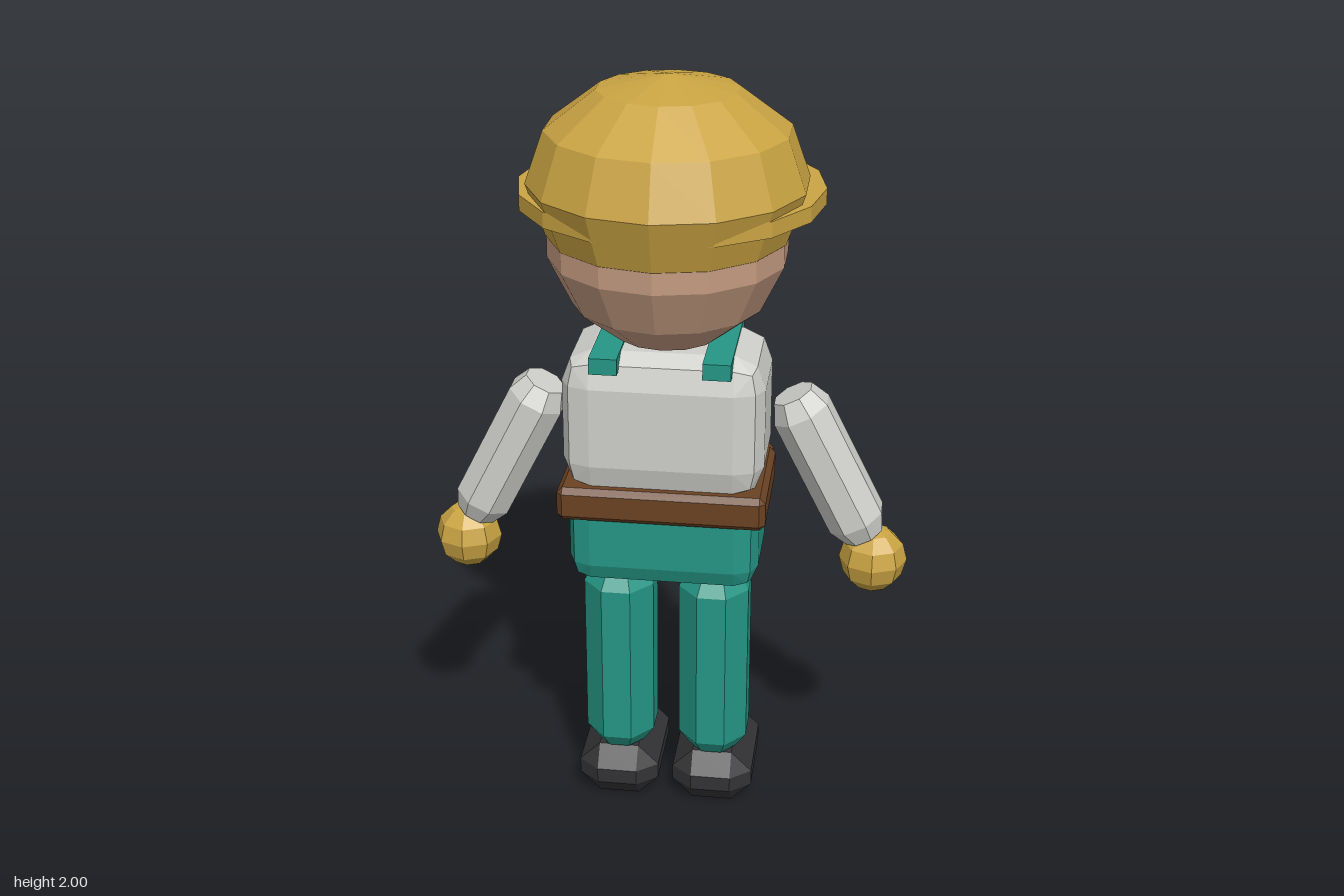
import * as THREE from 'three';
import { ConvexGeometry } from 'three/addons/geometries/ConvexGeometry.js';

const paint = (name, color) => {
  const m = new THREE.MeshStandardMaterial({ color });
  m.name = name;
  return m;
};

// Give every face its own normal
function faceted(geometry) {
  const g = geometry.index ? geometry.toNonIndexed() : geometry;
  g.computeVertexNormals();
  return g;
}

// Box with bevelled edges; steps 1 = plain chamfer, 2 = rounder bevel
function bevelBox(w, h, d, cx, cy = cx, cz = cx, steps = 1) {
  const a = Math.SQRT1_2, b = 1 / Math.sqrt(3);
  const dirs = [[1, 0, 0], [0, 1, 0], [0, 0, 1]];
  if (steps > 1) dirs.push([a, a, 0], [a, 0, a], [0, a, a], [b, b, b]);
  const points = [];
  for (const sx of [-1, 1]) for (const sy of [-1, 1]) for (const sz of [-1, 1])
    for (const [x, y, z] of dirs)
      points.push(new THREE.Vector3(
        sx * (w / 2 - cx + cx * x), sy * (h / 2 - cy + cy * y), sz * (d / 2 - cz + cz * z)));
  return new ConvexGeometry(points);
}

// Faceted ball with vertices on the z axis
function ball(r, ry, sides, rings) {
  const g = new THREE.SphereGeometry(r, sides, rings);
  g.scale(1, ry / r, 1);
  g.rotateY(Math.PI / 2);
  return faceted(g);
}

// Eight-sided limb with tapered ends, flat sides facing the axes
function limb(width, depth, length, bevel) {
  const r = 0.5 / Math.cos(Math.PI / 8), h = length / 2;
  const profile = [[0, -h], [r * 0.7, -h], [r, -h + bevel], [r, h - bevel], [r * 0.7, h], [0, h]];
  const g = new THREE.LatheGeometry(profile.map(([x, y]) => new THREE.Vector2(x, y)), 8, Math.PI / 8);
  g.scale(width, 1, depth);
  return faceted(g);
}

export function createModel() {
  const model = new THREE.Group();
  model.name = 'workman';

  const gold = paint('gold', 0xcaa443);
  const skin = paint('skin', 0xc39a80);
  const teal = paint('teal overalls', 0x259685);
  const shirt = paint('pale grey shirt', 0xcfcfcb);
  const leather = paint('brown leather', 0x6b4223);
  const boot = paint('dark boot', 0x333335);
  const black = paint('eye black', 0x222428);
  const steel = paint('steel', 0xb4b8ba);

  const mid = 0.046; // depth of the body centre
  const add = (name, geometry, material, x, y, z) => {
    const mesh = new THREE.Mesh(geometry, material);
    mesh.name = name;
    mesh.position.set(x, y, z);
    model.add(mesh);
    return mesh;
  };

  // Head and hard hat; the face looks toward -z
  add('head', ball(0.305, 0.3, 14, 7), skin, 0, 1.62, mid);
  add('hatDome', ball(0.346, 0.26, 14, 6), gold, 0, 1.74, mid);
  add('hatBrim', faceted(new THREE.CylinderGeometry(0.38, 0.38, 0.04, 16)), gold, 0, 1.695, -0.015);
  add('nose', ball(0.042, 0.042, 8, 6), skin, 0, 1.53, -0.265);

  // Body and overalls
  add('torso', bevelBox(0.51, 0.38, 0.315, 0.075, 0.085, 0.06, 2), shirt, 0, 1.14, mid);
  add('hips', bevelBox(0.49, 0.27, 0.3, 0.06, 0.06, 0.06, 2), teal, 0, 0.825, mid);
  add('bib', bevelBox(0.34, 0.3, 0.05, 0.015), teal, 0, 1.1, -0.103);

  // Belt with pouch and hammer
  add('belt', bevelBox(0.53, 0.09, 0.334, 0.015), leather, 0, 0.93, 0.051);
  add('pouch', bevelBox(0.13, 0.135, 0.085, 0.025), leather, 0.19, 0.907, -0.138);
  add('hammerHandle', new THREE.BoxGeometry(0.045, 0.22, 0.045), steel, -0.226, 0.875, -0.092);
  add('hammerHead', bevelBox(0.05, 0.045, 0.05, 0.008), steel, -0.226, 0.99, -0.092);

  // Mirrored parts
  for (const [side, s] of [['left', 1], ['right', -1]]) {
    add(side + 'Eye', ball(0.034, 0.034, 8, 6), black, s * 0.11, 1.6, -0.24);
    add(side + 'Strap', new THREE.BoxGeometry(0.07, 0.042, 0.335), teal, s * 0.14, 1.314, 0.049);
    const arm = add(side + 'Arm', limb(0.145, 0.158, 0.43, 0.05), shirt, s * 0.413, 1.005, mid);
    arm.rotation.z = s * 0.47;
    add(side + 'Hand', ball(0.088, 0.088, 8, 6), gold, s * 0.535, 0.745, mid);
    add(side + 'Leg', limb(0.183, 0.208, 0.54, 0.045), teal, s * 0.126, 0.425, 0.05);
    add(side + 'Boot', bevelBox(0.216, 0.152, 0.32, 0.055, 0.055, 0.045), boot, s * 0.128, 0.076, 0);
  }

  return model;
}
